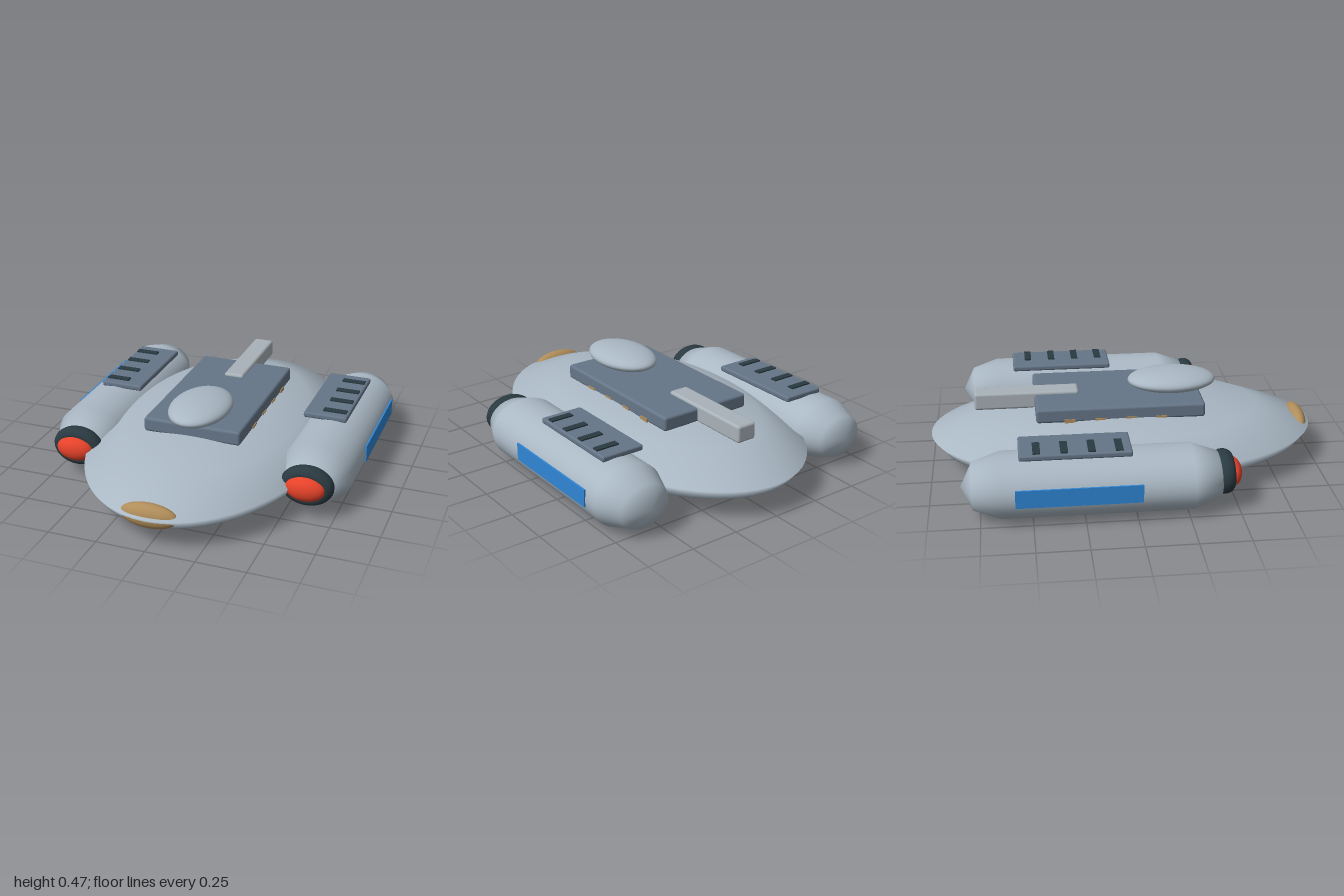
import * as THREE from 'three';
import { RoundedBoxGeometry } from 'three/addons/geometries/RoundedBoxGeometry.js';

const mat = (name, color) => {
  const m = new THREE.MeshStandardMaterial({ color });
  m.name = name;
  return m;
};

export function createModel() {
  const hullGrey = mat('hull grey', 0xaab8c4);
  const finGrey = mat('fin grey', 0xa9b2b9);
  const slate = mat('slate', 0x667688);
  const dark = mat('dark trim', 0x2a3a41);
  const red = mat('engine red', 0xe8432a);
  const blue = mat('stripe blue', 0x2f86d6);
  const bronze = mat('bronze glass', 0xb08d5a);

  const model = new THREE.Group();
  model.name = 'shuttle';

  const add = (parent, name, geometry, material, x, y, z) => {
    const mesh = new THREE.Mesh(geometry, material);
    mesh.name = name;
    mesh.position.set(x, y, z);
    parent.add(mesh);
    return mesh;
  };
  const ellipsoid = (rx, ry, rz) => new THREE.SphereGeometry(1, 40, 24).scale(rx, ry, rz);
  const block = (w, h, d, r) => new RoundedBoxGeometry(w, h, d, 2, r);

  // Saucer hull: a turned profile squeezed to an oval
  const profile = [
    [0, 0.045], [0.56, 0.045], [0.95, 0.11], [1, 0.17],
    [0.72, 0.275], [0.4, 0.315], [0, 0.33],
  ].map(([r, y]) => new THREE.Vector2(r, y));
  add(model, 'hull', new THREE.LatheGeometry(profile, 72).scale(0.62, 1, 1), hullGrey, 0, 0, 0);

  // Nose window, wrapped around the rim
  add(model, 'noseWindow', ellipsoid(0.145, 0.063, 0.047), bronze, 0, 0.162, 0.939);

  // Deck with cockpit dome and tail fin
  add(model, 'deck', block(0.51, 0.075, 0.86, 0.014), slate, 0, 0.3375, -0.03);
  add(model, 'cockpitDome', ellipsoid(0.153, 0.055, 0.23), hullGrey, 0, 0.415, 0.26);
  add(model, 'tailFin', block(0.108, 0.09, 0.54, 0.014), finGrey, 0, 0.345, -0.5);

  for (const side of [-1, 1]) {
    // Small windows along the deck edge
    for (let i = 0; i < 4; i++) {
      add(model, 'deckWindow', new THREE.BoxGeometry(0.009, 0.035, 0.055), bronze,
        side * 0.2555, 0.302, -0.29 + i * 0.155);
    }

    // Engine pod
    const pod = new THREE.Group();
    pod.name = side > 0 ? 'leftPod' : 'rightPod';
    model.add(pod);
    const cx = side * 0.612;

    const body = new THREE.CapsuleGeometry(0.19, 0.92, 2, 40)
      .rotateX(Math.PI / 2).scale(1, 0.82, 1);
    add(pod, 'podBody', body, hullGrey, cx, 0.156, -0.19);

    const ring = new THREE.TorusGeometry(0.09, 0.045, 16, 40).scale(1, 0.77, 1);
    add(pod, 'intakeRing', ring, dark, cx, 0.171, 0.43);
    add(pod, 'intakeGlow', ellipsoid(0.1, 0.065, 0.05), red, cx, 0.171, 0.468);

    // Top panel with vents
    add(pod, 'podPanel', block(0.228, 0.03, 0.54, 0.01), slate, side * 0.57, 0.319, -0.29);
    for (let i = 0; i < 4; i++) {
      add(pod, 'vent', new THREE.BoxGeometry(0.122, 0.009, 0.036), dark,
        side * 0.61, 0.3365, -0.475 + i * 0.131);
    }

    // Outer side stripe
    add(pod, 'sideStripe', new THREE.BoxGeometry(0.009, 0.09, 0.6), blue, side * 0.802, 0.17, -0.283);
  }

  return model;
}
